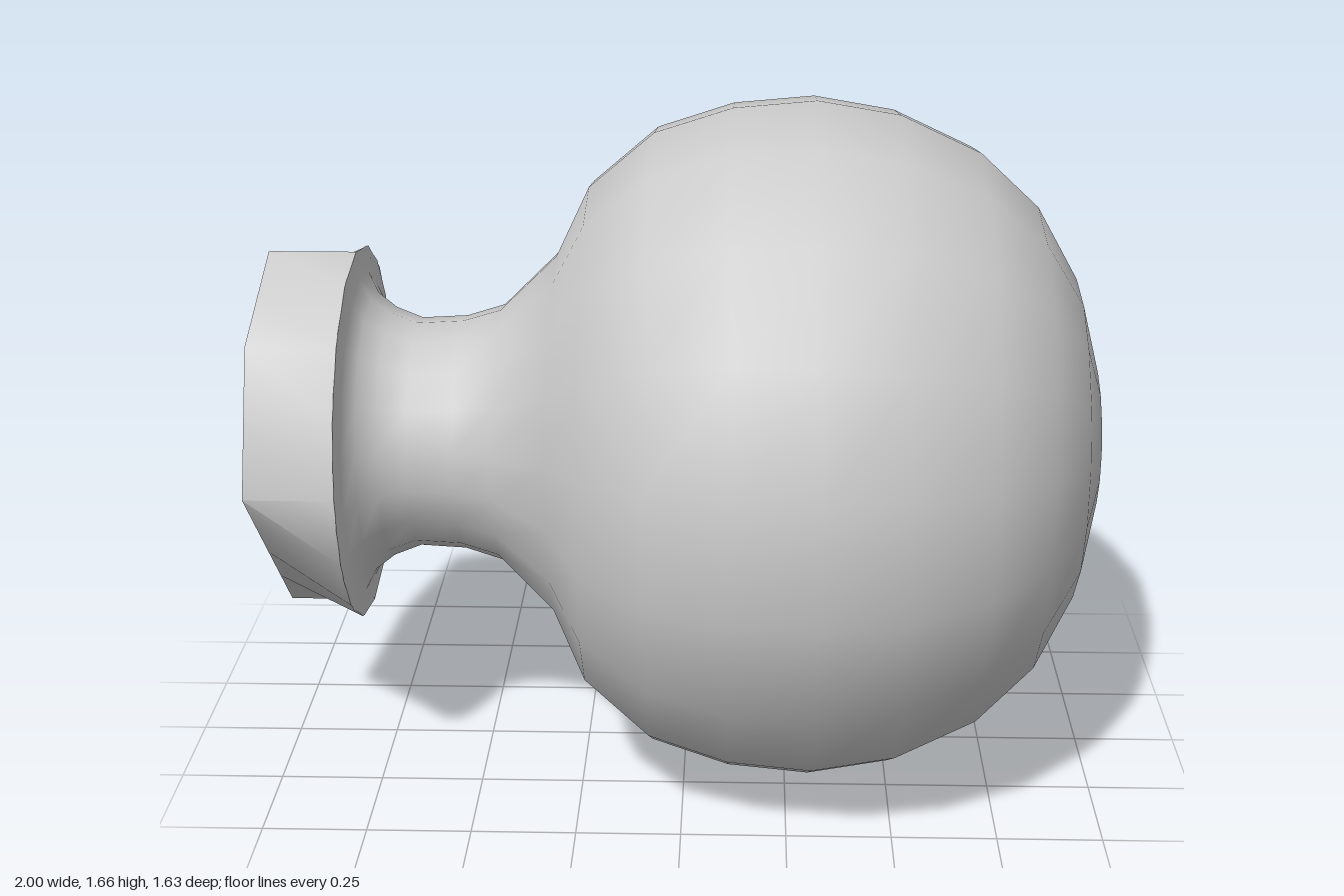
import * as THREE from 'three';
import { toCreasedNormals } from 'three/addons/utils/BufferGeometryUtils.js';

const AXIS_Y = 0.83;

// Turned ball, neck and flared collar, as (radius, distance along x)
const KNOB_PROFILE = [
  [0.456, -0.79], [0.39, -0.785], [0.34, -0.76], [0.305, -0.715], [0.28, -0.65],
  [0.286, -0.54], [0.314, -0.448], [0.45, -0.31], [0.62, -0.23], [0.752, -0.075],
  [0.812, 0.11], [0.83, 0.305], [0.797, 0.5], [0.708, 0.69], [0.578, 0.83],
  [0.403, 0.93], [0.2, 0.985], [0, 1],
];

function knobGeometry() {
  const points = KNOB_PROFILE.map(([r, x]) => new THREE.Vector2(r, x));
  const geometry = new THREE.LatheGeometry(points, 18, Math.PI / 2);
  return geometry.rotateZ(-Math.PI / 2);
}

// Mounting base: a 16-sided rim lofted to an end face with two long flats
function baseGeometry() {
  const sides = 16, radius = 0.457, backX = -1, frontX = -0.79;
  const corners = [0, 2, 4, 8, 10, 12, 16];
  const onRim = (i, x) => {
    const a = (i / sides) * Math.PI * 2;
    return new THREE.Vector3(x, radius * Math.cos(a), radius * Math.sin(a));
  };
  const onEndFace = (i) => {
    const k = corners.findIndex((c, n) => i >= c && i <= corners[n + 1]);
    const [from, to] = [corners[k], corners[k + 1]];
    return onRim(from, backX).lerp(onRim(to, backX), (i - from) / (to - from));
  };

  const triangles = [];
  const backCentre = new THREE.Vector3(backX, 0, 0);
  const frontCentre = new THREE.Vector3(frontX, 0, 0);
  for (let i = 0; i < sides; i++) {
    const b0 = onEndFace(i), b1 = onEndFace(i + 1);
    const f0 = onRim(i, frontX), f1 = onRim(i + 1, frontX);
    triangles.push(b0, f1, f0, b0, b1, f1); // side
    triangles.push(backCentre, b1, b0, frontCentre, f0, f1); // end faces
  }
  const geometry = new THREE.BufferGeometry().setFromPoints(triangles);
  return toCreasedNormals(geometry, 0.9);
}

export function createModel() {
  const model = new THREE.Group();
  model.name = 'knob';
  const material = new THREE.MeshStandardMaterial({ color: 0xcccccc });

  const add = (name, geometry) => {
    const mesh = new THREE.Mesh(geometry, material);
    mesh.name = name;
    mesh.position.y = AXIS_Y;
    model.add(mesh);
  };
  add('ballAndNeck', knobGeometry());
  add('mountingBase', baseGeometry());
  return model;
}
